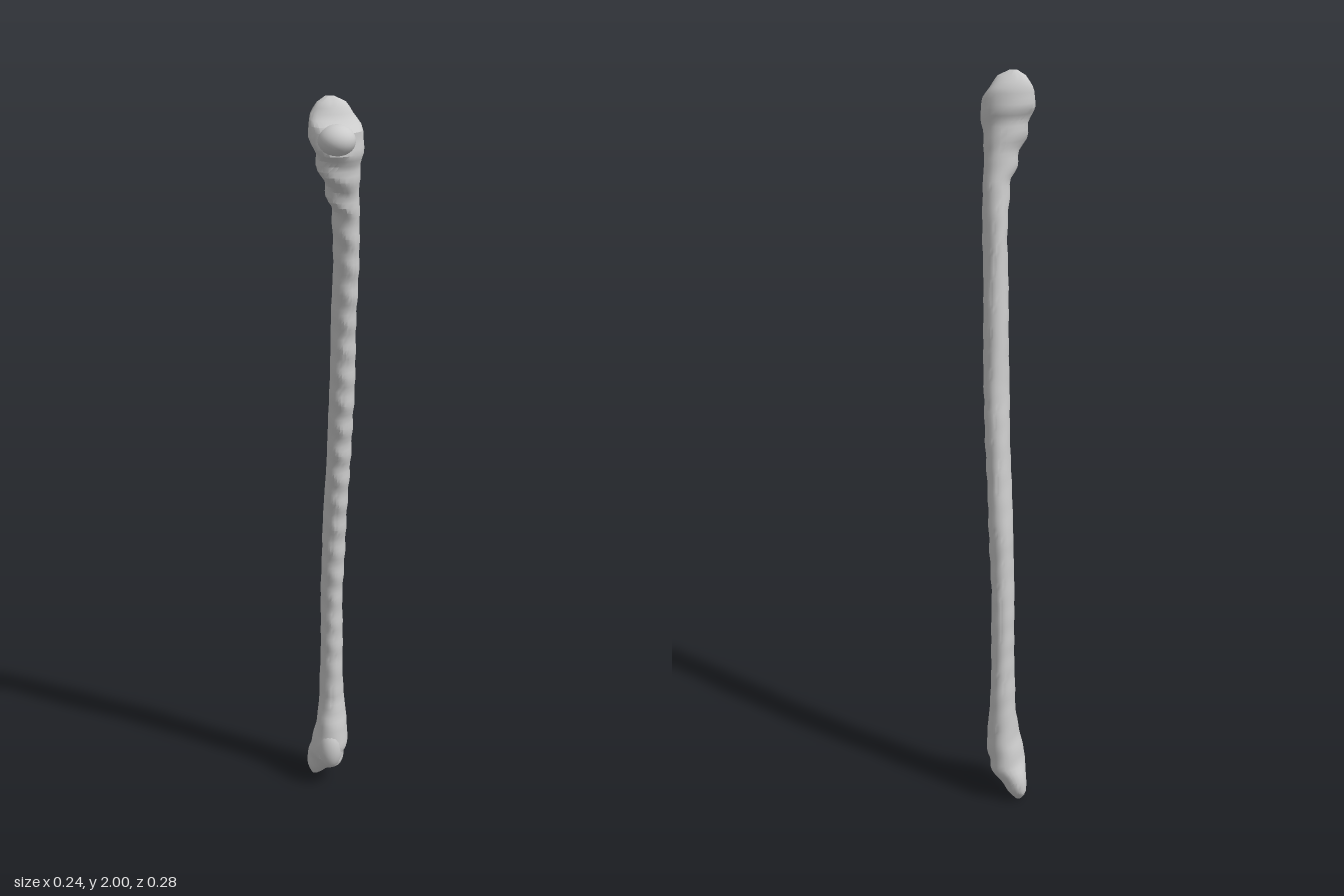
import * as THREE from 'three';
import { toCreasedNormals } from 'three/addons/utils/BufferGeometryUtils.js';

// Cross-sections: y, xMin, xMax, zMin, zMax, skew (diagonal lean of the ellipse)
const SECTIONS = [
  [0.0, 0.045, 0.065, -0.12, -0.1, 0],
  [0.02, 0.035, 0.08, -0.138, -0.075, -0.1],
  [0.06, 0.018, 0.102, -0.14, -0.02, -0.2],
  [0.12, 0.0, 0.12, -0.12, 0.005, -0.25],
  [0.2, 0.012, 0.12, -0.105, -0.003, -0.3],
  [0.27, 0.027, 0.115, -0.1, -0.018, -0.3],
  [0.4, 0.03, 0.11, -0.096, -0.02, -0.34],
  [0.6, 0.026, 0.102, -0.09, -0.015, -0.34],
  [0.8, 0.02, 0.1, -0.08, 0.0, -0.34],
  [1.0, 0.01, 0.091, -0.056, 0.022, -0.34],
  [1.2, -0.005, 0.08, -0.032, 0.048, -0.34],
  [1.4, -0.016, 0.063, -0.015, 0.066, -0.34],
  [1.6, -0.025, 0.046, 0.004, 0.088, -0.3],
  [1.72, -0.042, 0.036, 0.018, 0.096, -0.2],
  [1.8, -0.08, 0.024, 0.02, 0.106, -0.1],
  [1.87, -0.112, 0.021, 0.014, 0.124, 0],
  [1.92, -0.115, 0.022, 0.002, 0.122, 0.1],
  [1.955, -0.095, 0.015, 0.003, 0.088, 0.35],
  [1.985, -0.075, -0.008, 0.012, 0.068, 0.5],
  [2.0, -0.052, -0.035, 0.03, 0.048, 0.5],
];

function sectionAt(y) {
  const last = SECTIONS.length - 1;
  y = THREE.MathUtils.clamp(y, 0, 2);
  let i = 0;
  while (i < last - 1 && SECTIONS[i + 1][0] < y) i++;
  const a = SECTIONS[i], b = SECTIONS[i + 1];
  const t = (y - a[0]) / (b[0] - a[0]);
  return a.map((v, k) => v + (b[k] - v) * t);
}

// Point on the bone surface, with faint scalloped layers
function surfacePoint(y, angle) {
  const fade = Math.min(1, y / 0.1, (2 - y) / 0.1);
  const wave = Math.sin((y * 2 * Math.PI) / 0.075 + 2 * Math.sin(angle));
  const [, x0, x1, z0, z1, skew] = sectionAt(y + 0.012 * wave * fade);
  const r = 1 + fade * (0.025 * wave + 0.02 * Math.sin(3 * angle + 23 * y));
  return [
    (x0 + x1) / 2 + ((x1 - x0) / 2) * r * Math.cos(angle),
    y,
    (z0 + z1) / 2 + ((z1 - z0) / 2) * r * Math.cos(angle - Math.acos(skew)),
  ];
}

function boneGeometry(rings = 150, sides = 24) {
  const pos = [], index = [];
  for (let j = 0; j <= rings; j++) {
    for (let i = 0; i < sides; i++) {
      pos.push(...surfacePoint((2 * j) / rings, (i / sides) * Math.PI * 2));
    }
  }
  for (let j = 0; j < rings; j++) {
    for (let i = 0; i < sides; i++) {
      const n = (i + 1) % sides;
      const a = j * sides + i, b = j * sides + n;
      index.push(a, a + sides, b, b, a + sides, b + sides);
    }
  }
  // Close both tips
  for (let i = 1; i < sides - 1; i++) {
    const top = rings * sides;
    index.push(0, i, i + 1, top, top + i + 1, top + i);
  }
  const g = new THREE.BufferGeometry();
  g.setAttribute('position', new THREE.Float32BufferAttribute(pos, 3));
  g.setIndex(index);
  return toCreasedNormals(g, 0.5);
}

export function createModel() {
  const group = new THREE.Group();
  group.name = 'longBone';
  const material = new THREE.MeshStandardMaterial({ color: 0xcccccc });

  // Shaft with both flared ends
  const shaft = new THREE.Mesh(boneGeometry(), material);
  shaft.name = 'shaft';
  group.add(shaft);

  // Rounded bumps on the two ends: name, centre, radii
  const knobs = [
    ['upperKnob', [-0.077, 1.903, 0.093], [0.047, 0.038, 0.046]],
    ['lowerKnob', [0.036, 0.125, -0.032], [0.036, 0.065, 0.036]],
  ];
  for (const [name, centre, radii] of knobs) {
    const knob = new THREE.Mesh(new THREE.SphereGeometry(1, 20, 14), material);
    knob.name = name;
    knob.position.set(...centre);
    knob.scale.set(...radii);
    group.add(knob);
  }
  return group;
}
